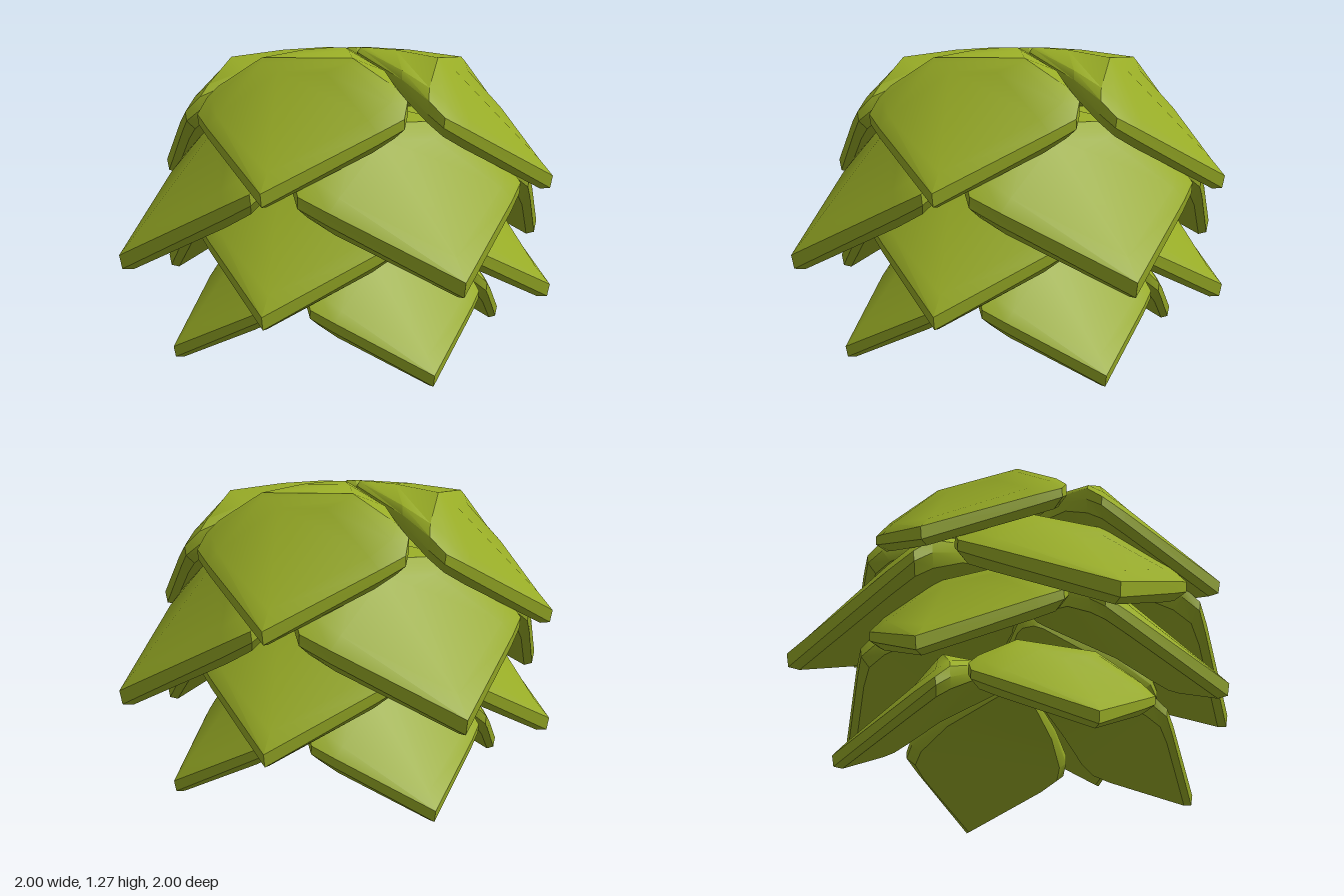
import * as THREE from 'three';
import { toCreasedNormals } from 'three/addons/utils/BufferGeometryUtils.js';

// Half outlines of one leaf from stem to tip: [half width, distance from axis, height]
const CREST = [
  [0.015, 0.068, 0], [0.03, 0.1, 0], [0.1, 0.25, -0.01], [0.19, 0.455, -0.04],
  [0.18, 0.475, -0.06], [0.1, 0.505, -0.095], [0, 0.525, -0.13],
];
const FACE = [
  [0.02, 0.065, -0.005], [0.05, 0.09, -0.01], [0.28, 0.335, -0.09], [0.372, 0.472, -0.152],
  [0.372, 0.535, -0.203], [0.31, 0.61, -0.265], [0, 0.83, -0.445],
];
const RIM = [
  [0.028, 0.057, -0.02], [0.064, 0.078, -0.025], [0.308, 0.343, -0.125], [0.42, 0.484, -0.2],
  [0.428, 0.55, -0.262], [0.35, 0.618, -0.31], [0, 0.89, -0.515],
];
const LOWER_RIM = [
  [0.028, 0.057, -0.045], [0.064, 0.078, -0.05], [0.308, 0.343, -0.16], [0.42, 0.48, -0.25],
  [0.428, 0.545, -0.3], [0.35, 0.61, -0.352], [0, 0.88, -0.565],
];
const BASE = [
  [0.028, 0.057, -0.06], [0.064, 0.08, -0.07], [0.28, 0.33, -0.185], [0.375, 0.465, -0.285],
  [0.385, 0.53, -0.335], [0.32, 0.595, -0.385], [0, 0.84, -0.57],
];

// Mirrors a half outline into a closed loop of points
function loop(half) {
  const right = half.map(([u, r, y]) => new THREE.Vector3(u, y, r));
  const left = half.slice(0, -1).reverse().map(([u, r, y]) => new THREE.Vector3(-u, y, r));
  return [...right, ...left];
}

function leafGeometry() {
  const rings = [CREST, FACE, RIM, LOWER_RIM, BASE].map(loop);
  const n = rings[0].length;
  const points = [];
  const tri = (...p) => points.push(...p);

  // Sloping sides, bevels and edge wall
  for (let k = 0; k < rings.length - 1; k++) {
    const up = rings[k], low = rings[k + 1];
    for (let i = 0; i < n; i++) {
      const j = (i + 1) % n;
      tri(low[i], up[i], up[j]);
      tri(low[i], up[j], low[j]);
    }
  }

  // Crest plateau and underside, spanned between mirrored points
  const top = rings[0], base = rings[rings.length - 1], tip = (n - 1) / 2;
  for (let i = 0; i < tip; i++) {
    const a = i, b = i + 1, c = n - 1 - b, d = n - 1 - a;
    tri(top[a], top[d], top[c]);
    tri(base[a], base[c], base[d]);
    if (b !== c) {
      tri(top[a], top[c], top[b]);
      tri(base[a], base[b], base[c]);
    }
  }
  const geometry = new THREE.BufferGeometry().setFromPoints(points);
  geometry.computeVertexNormals();
  return toCreasedNormals(geometry, 0.6);
}

export function createModel() {
  const model = new THREE.Group();
  model.name = 'leafyBush';
  const leafGreen = new THREE.MeshStandardMaterial({ color: 0x98ac26 });
  leafGreen.name = 'leafGreen';
  const geometry = leafGeometry();

  // Four tiers of four leaves, each turned an eighth from the next
  const tiers = [
    { name: 'topTier', y: 1.272, scale: 1, turn: Math.PI / 4 },
    { name: 'upperTier', y: 1.03, scale: 1.124, turn: 0 },
    { name: 'lowerTier', y: 0.822, scale: 1, turn: Math.PI / 4 },
    { name: 'bottomTier', y: 0.505, scale: 0.885, turn: 0 },
  ];
  for (const { name, y, scale, turn } of tiers) {
    const tier = new THREE.Group();
    tier.name = name;
    tier.position.y = y;
    tier.scale.setScalar(scale);
    for (let i = 0; i < 4; i++) {
      const leaf = new THREE.Mesh(geometry, leafGreen);
      leaf.name = 'leaf';
      leaf.rotation.y = turn + (i * Math.PI) / 2;
      tier.add(leaf);
    }
    model.add(tier);
  }
  return model;
}
